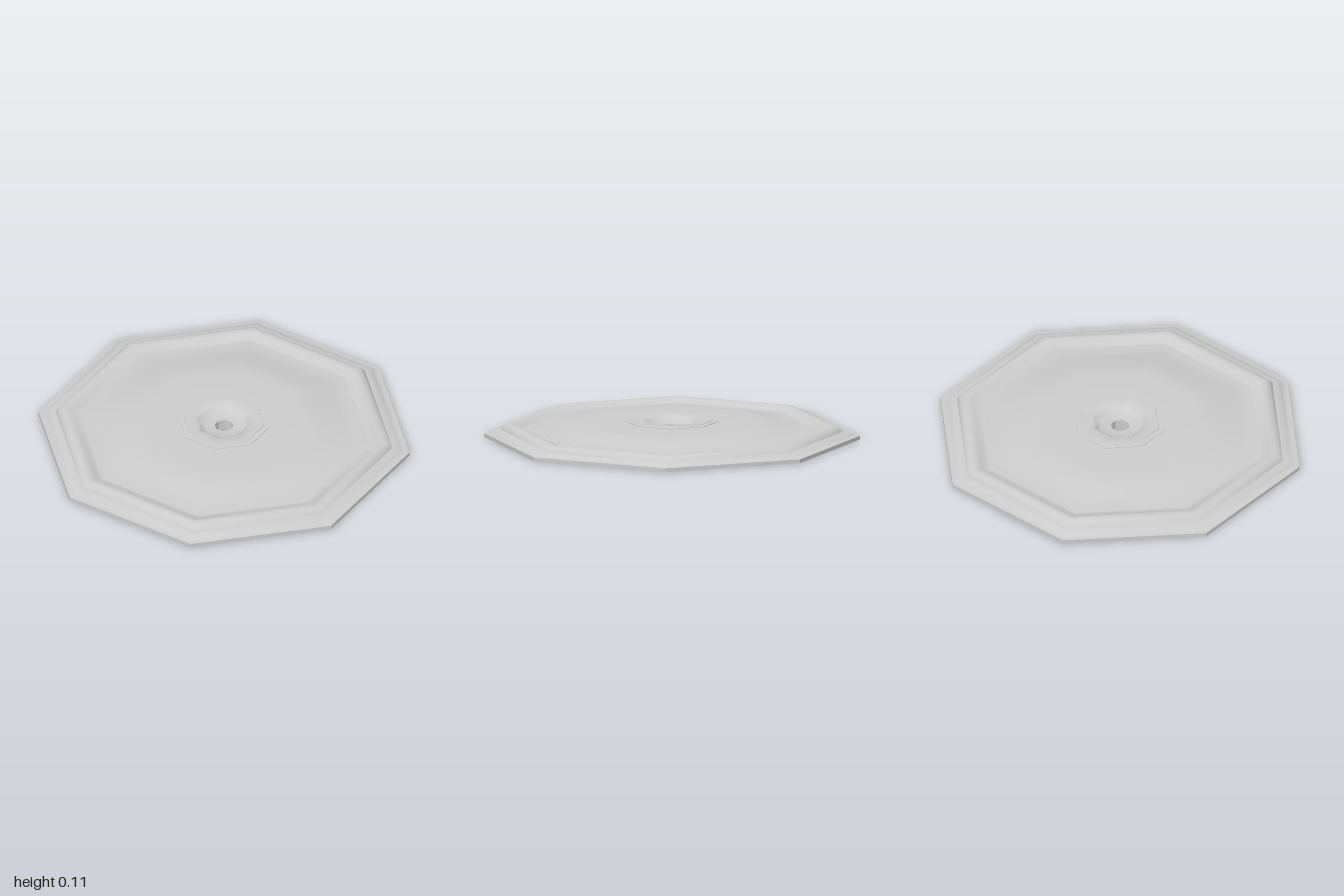
import * as THREE from 'three';
import { toCreasedNormals } from 'three/addons/utils/BufferGeometryUtils.js';

const SIDES = 8;
const material = new THREE.MeshStandardMaterial({ color: 0xcccccc, side: THREE.DoubleSide });

// Eight-sided ring swept from [distance to flat side, height] points
function octagonRing(name, profile) {
  const toCorner = 1 / Math.cos(Math.PI / SIDES);
  const points = profile.map(([a, y]) => new THREE.Vector2(a * toCorner, y));
  const geometry = new THREE.LatheGeometry(points, SIDES, Math.PI / SIDES);
  const mesh = new THREE.Mesh(toCreasedNormals(geometry, 0.7), material);
  mesh.name = name;
  return mesh;
}

export function createModel() {
  const group = new THREE.Group();
  group.name = 'octagonalPlate';

  // Flat underside around the centre hole
  group.add(octagonRing('underside', [[0.05, 0], [1, 0]]));

  // Stepped outer edge and rounded raised rim
  group.add(octagonRing('moldedRim', [
    [1, 0], [1, 0.022], [0.975, 0.023], [0.958, 0.032], [0.945, 0.041],
    [0.91, 0.044], [0.902, 0.056], [0.89, 0.067], [0.868, 0.075],
    [0.848, 0.074], [0.828, 0.066], [0.808, 0.055], [0.785, 0.05],
  ]));

  // Shallow channel rising to the broad raised centre
  group.add(octagonRing('raisedCentre', [
    [0.785, 0.05], [0.72, 0.052], [0.69, 0.058], [0.6, 0.078],
    [0.54, 0.091], [0.49, 0.098], [0.44, 0.1], [0.25, 0.1],
  ]));

  // Stepped hub with a dished middle and a through hole
  group.add(octagonRing('hub', [
    [0.25, 0.1], [0.25, 0.103], [0.217, 0.103], [0.215, 0.107], [0.155, 0.107],
    [0.143, 0.1], [0.128, 0.084], [0.11, 0.076], [0.05, 0.072], [0.05, 0],
  ]));

  return group;
}
